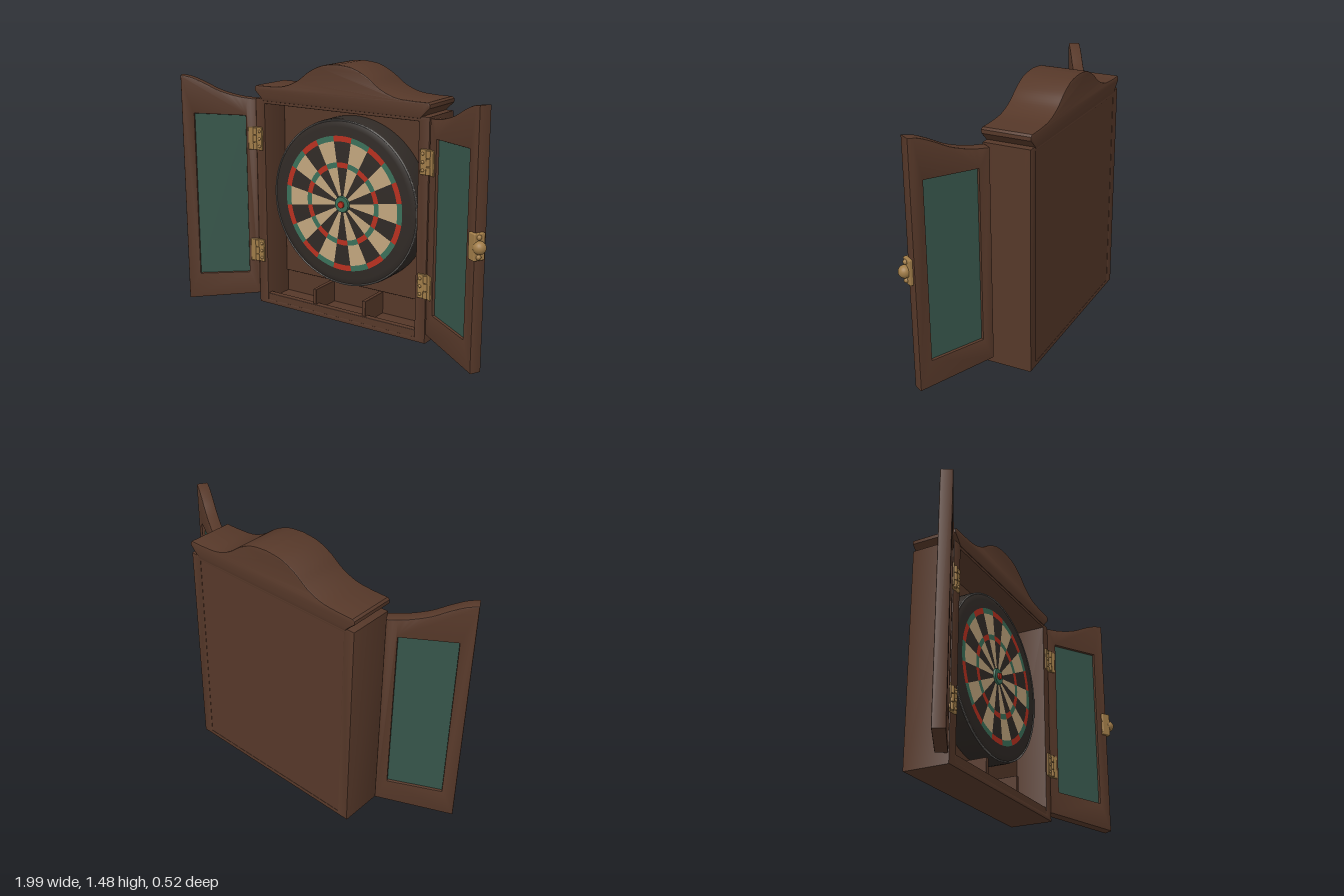
import * as THREE from 'three';
import { mergeGeometries, toCreasedNormals } from 'three/addons/utils/BufferGeometryUtils.js';
import { RoundedBoxGeometry } from 'three/addons/geometries/RoundedBoxGeometry.js';

const mat = (name, color) => {
  const m = new THREE.MeshStandardMaterial({ color });
  m.name = name;
  return m;
};
const wood = mat('walnut wood', 0x563829);
const felt = mat('green panel', 0x36554a);
const black = mat('board black', 0x302a26);
const cream = mat('board cream', 0xc2a67e);
const red = mat('board red', 0xb8301f);
const green = mat('board green', 0x3a7059);
const brass = mat('brass', 0xa07c48);
const wire = mat('wire grey', 0x63605d);

function add(parent, name, geometry, material, x = 0, y = 0, z = 0) {
  const m = new THREE.Mesh(geometry, material);
  m.name = name;
  m.position.set(x, y, z);
  parent.add(m);
  return m;
}

// Box given by its limits
function box(parent, name, material, [x0, x1], [y0, y1], [z0, z1], r = 0.004) {
  return add(parent, name, new RoundedBoxGeometry(x1 - x0, y1 - y0, z1 - z0, 2, r), material,
    (x0 + x1) / 2, (y0 + y1) / 2, (z0 + z1) / 2);
}

// Bevelled extrusion from z0 to z1 that keeps the outline's size
function slab(shape, z0, z1, b = 0.006) {
  const g = new THREE.ExtrudeGeometry(shape, {
    depth: z1 - z0 - 2 * b, bevelThickness: b, bevelSize: b, bevelOffset: -b, bevelSegments: 2, curveSegments: 12,
  });
  g.translate(0, 0, z0 + b);
  return toCreasedNormals(g, 0.6);
}

const vecs = (pts) => pts.map(([x, y]) => new THREE.Vector2(x, y));
const rect = (x0, x1, y0, y1) => vecs([[x0, y0], [x1, y0], [x1, y1], [x0, y1]]);
const spline = (pts, n) => new THREE.SplineCurve(vecs(pts)).getPoints(n);

function makeCabinet() {
  const g = new THREE.Group();
  g.name = 'cabinet';
  const frame = new THREE.Shape(rect(-0.57, 0.57, 0.003, 1.25));
  frame.holes.push(new THREE.Path(rect(-0.505, 0.505, 0.03, 1.222)));
  add(g, 'cabinetFrame', slab(frame, -0.243, 0.02), wood);
  box(g, 'backPanel', wood, [-0.51, 0.51], [0.025, 1.23], [-0.24, -0.18]);
  box(g, 'backBoard', wood, [-0.506, 0.506], [0.165, 1.225], [-0.19, -0.166]);

  // Tray with three compartments
  box(g, 'trayLip', wood, [-0.507, 0.507], [0.01, 0.07], [-0.02, 0.018]);
  for (const x of [-0.17, 0.17]) box(g, 'trayDivider', wood, [x - 0.012, x + 0.012], [0.025, 0.16], [-0.185, 0.008]);

  // Arched crown with undercut ends
  const half = [[0, 1.48], [0.1, 1.468], [0.19, 1.428], [0.27, 1.372], [0.36, 1.336], [0.46, 1.326], [0.56, 1.325]];
  const right = spline(half, 36);
  const end = vecs([[0.572, 1.315], [0.572, 1.295], [0.557, 1.28], [0.53, 1.255], [0.515, 1.237]]);
  const side = [...right, ...end];
  const left = side.slice(1).reverse().map((p) => new THREE.Vector2(-p.x, p.y));
  add(g, 'crown', slab(new THREE.Shape([...left, ...side]), -0.247, 0.025, 0.008), wood);
  return g;
}

function makeBoard() {
  const g = new THREE.Group();
  g.name = 'dartboard';
  const profile = vecs([[0.484, 0], [0.484, 0.12], [0.478, 0.138], [0.462, 0.147], [0.44, 0.15], [0, 0.15]]);
  const disc = toCreasedNormals(new THREE.LatheGeometry(profile, 80), 0.6);
  add(g, 'boardDisc', disc.rotateX(Math.PI / 2), black, 0, 0, -0.18);
  add(g, 'rimWire', new THREE.TorusGeometry(0.476, 0.005, 6, 80), wire, 0, 0, -0.038);

  // Scoring fields: alternating segments and rings, grouped by colour
  const fields = new Map([[cream, []], [red, []], [green, []]]);
  const step = Math.PI / 10;
  for (let i = 0; i < 20; i++) {
    const field = (r0, r1, m) => fields.get(m).push(
      new THREE.RingGeometry(r0, r1, 6, 1, Math.PI / 2 + (i - 0.5) * step, step));
    const odd = i % 2 === 1;
    field(0.358, 0.39, odd ? green : red);
    field(0.21, 0.24, odd ? green : red);
    if (odd) {
      field(0.24, 0.358, cream);
      field(0.048, 0.21, cream);
    }
  }
  for (const [m, list] of fields) add(g, m.name + ' fields', mergeGeometries(list), m, 0, 0, -0.0275);
  const bull = (name, r, h, m) =>
    add(g, name, new THREE.CylinderGeometry(r * 0.92, r, h, 32).rotateX(Math.PI / 2), m, 0, 0, -0.03 + h / 2);
  bull('outerBull', 0.048, 0.012, green);
  bull('innerBull', 0.02, 0.022, red);
  g.position.y = 0.692;
  return g;
}

// s = 1 for the left door (+x), -1 for the right; local x runs from the hinge outwards
function makeDoor(s) {
  const g = new THREE.Group();
  g.name = s > 0 ? 'leftDoor' : 'rightDoor';
  const top = spline([[0, 1.243], [0.1, 1.256], [0.21, 1.288], [0.305, 1.335], [0.38, 1.366], [0.437, 1.376]], 24);
  const mirror = (pts) => pts.map((p) => new THREE.Vector2(s * p.x, p.y));
  const outline = new THREE.Shape(mirror([...vecs([[0.437, 0.012], [0, 0.057]]), ...top]));
  outline.holes.push(new THREE.Path(mirror(vecs([[0.064, 0.19], [0.364, 0.172], [0.364, 1.155], [0.064, 1.145]]))));
  add(g, 'doorFrame', slab(outline, -0.066, 0), wood);
  add(g, 'doorPanel', new THREE.BoxGeometry(0.32, 1.01, 0.034), felt, s * 0.214, 0.663, -0.033);
  g.position.set(s * 0.57, 0, 0.015);
  g.rotation.y = -s * Math.PI / 6;
  return g;
}

function makeHinge(s, y) {
  const g = new THREE.Group();
  g.name = 'hinge';
  box(g, 'cabinetLeaf', brass, [-0.028, 0.028], [-0.068, 0.068], [-0.008, 0.008]).position.set(-s * 0.022, 0, 0.006);
  const leaf = box(g, 'doorLeaf', brass, [-0.022, 0.022], [-0.068, 0.068], [-0.008, 0.008]);
  leaf.position.set(s * 0.022, 0, 0.012);
  leaf.rotation.y = -s * Math.PI / 6;
  // Barrel knuckles and screw heads
  for (const dy of [-0.044, 0, 0.044]) {
    add(g, 'knuckle', new THREE.CylinderGeometry(0.013, 0.013, 0.04, 16), brass, 0, dy, 0.011);
    add(g, 'screw', new THREE.SphereGeometry(0.009, 12, 8), brass, -s * 0.033, dy, 0.014);
  }
  g.position.set(s * 0.572, y, 0.017);
  return g;
}

// Latch wrapped around the free edge of the left door, in the door's own frame
function makeLatch() {
  const g = new THREE.Group();
  g.name = 'latch';
  box(g, 'edgePlate', brass, [0.43, 0.455], [-0.07, 0.07], [-0.05, 0.014], 0.006);
  box(g, 'facePlate', brass, [0.4, 0.455], [-0.07, 0.07], [-0.004, 0.015], 0.006);
  add(g, 'knob', new THREE.SphereGeometry(0.034, 24, 16), brass, 0.461, 0, -0.012);
  for (const y of [-0.05, 0.05]) add(g, 'latchScrew', new THREE.SphereGeometry(0.014, 12, 8), brass, 0.455, y, -0.012);
  g.position.y = 0.685;
  return g;
}

export function createModel() {
  const model = new THREE.Group();
  model.name = 'dartboardCabinet';
  model.add(makeCabinet(), makeBoard());
  for (const s of [-1, 1]) {
    const door = makeDoor(s);
    if (s > 0) door.add(makeLatch());
    model.add(door, makeHinge(s, 0.335), makeHinge(s, 1.015));
  }
  model.position.x = -0.015;
  const root = new THREE.Group();
  root.name = 'model';
  root.add(model);
  return root;
}
